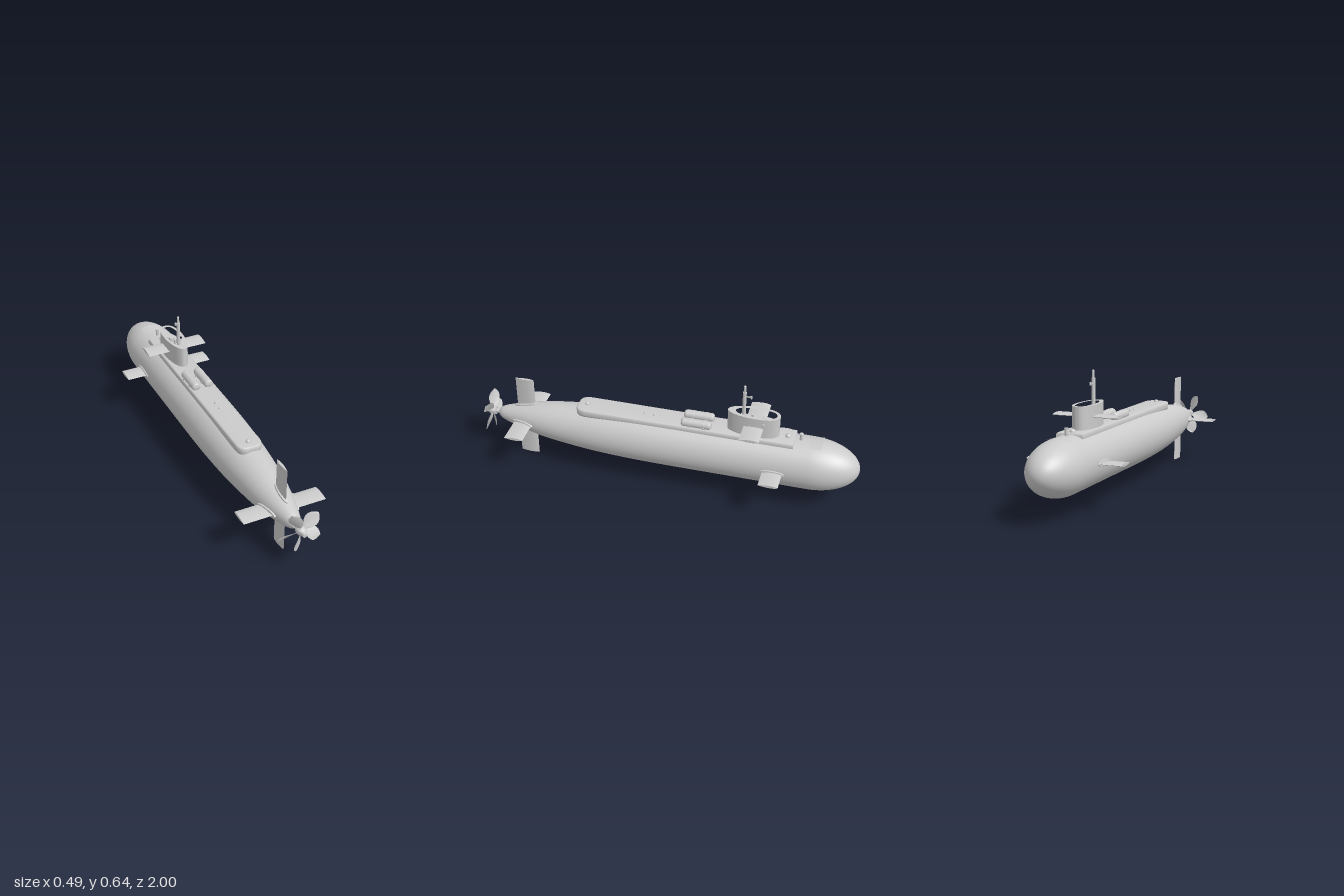
import * as THREE from 'three';
import { toCreasedNormals } from 'three/addons/utils/BufferGeometryUtils.js';

const AXIS = 0.233; // height of the hull centreline
const grey = new THREE.MeshStandardMaterial({ color: 0xcccccc });
const greyThin = new THREE.MeshStandardMaterial({ color: 0xcccccc, side: THREE.DoubleSide });

export function createModel() {
  const model = new THREE.Group();
  model.name = 'submarine';

  const add = (name, geo, x = 0, y = 0, z = 0, parent = model, mat = grey) => {
    const mesh = new THREE.Mesh(geo, mat);
    mesh.name = name;
    mesh.position.set(x, y, z);
    parent.add(mesh);
    return mesh;
  };
  const v2 = (a) => a.map(([x, y]) => new THREE.Vector2(x, y));
  // Solid of revolution along z from [radius, z] pairs
  const turned = (pts, seg = 32) => new THREE.LatheGeometry(v2(pts), seg).rotateX(Math.PI / 2);
  const box = (w, h, d) => new THREE.BoxGeometry(w, h, d);
  const post = (r, h, seg = 16) => new THREE.CylinderGeometry(r, r, h, seg);
  // Plan outline (x, -z) raised upward
  const raised = (shape, depth, bevel = 0) => toCreasedNormals(
    new THREE.ExtrudeGeometry(shape, {
      depth, curveSegments: 20, bevelEnabled: bevel > 0,
      bevelSize: bevel, bevelThickness: bevel, bevelOffset: -bevel, bevelSegments: 3,
    }).rotateX(-Math.PI / 2), 0.6);

  // Hull: elliptical bow, parallel middle, tapered stern
  const profile = [];
  for (let i = 0; i <= 20; i++) {
    const a = (i / 20) * Math.PI / 2;
    profile.push([0.135 * Math.sin(a), -0.75 - 0.25 * Math.cos(a)]);
  }
  const tail = new THREE.SplineCurve(v2([[0.135, -0.3], [0.135, 0], [0.132, 0.2], [0.122, 0.4],
    [0.102, 0.6], [0.082, 0.72], [0.058, 0.82], [0.036, 0.89], [0.018, 0.915]]));
  tail.getPoints(40).forEach((p) => profile.push([p.x, p.y]));
  profile.push([0, 0.917]);
  add('hull', turned(profile, 64), 0, AXIS);

  // Deck casing, square forward and rounded aft
  const casing = new THREE.Shape();
  casing.moveTo(-0.067, 0.665);
  casing.lineTo(-0.067, -0.41);
  casing.quadraticCurveTo(-0.067, -0.47, -0.02, -0.47);
  casing.lineTo(0.02, -0.47);
  casing.quadraticCurveTo(0.067, -0.47, 0.067, -0.41);
  casing.lineTo(0.067, 0.665);
  add('deckCasing', raised(casing, 0.022, 0.01), 0, 0.343);

  // Sail with an open bridge well
  const oval = (path, w, front, back, mid) => {
    path.moveTo(0, front);
    path.bezierCurveTo(w * 0.7, front, w, mid + 0.07, w, mid);
    path.bezierCurveTo(w, mid - 0.07, w * 0.6, back, 0, back);
    path.bezierCurveTo(-w * 0.6, back, -w, mid - 0.07, -w, mid);
    path.bezierCurveTo(-w, mid + 0.07, -w * 0.7, front, 0, front);
    return path;
  };
  const sail = new THREE.Group();
  sail.name = 'sail';
  model.add(sail);
  const wall = oval(new THREE.Shape(), 0.052, 0.585, 0.32, 0.47);
  wall.holes.push(oval(new THREE.Path(), 0.036, 0.568, 0.36, 0.47));
  add('sailWall', raised(wall, 0.115), 0, 0.37, 0, sail);
  add('bridgeFloor', raised(oval(new THREE.Shape(), 0.045, 0.577, 0.34, 0.47), 0.07), 0, 0.37, 0, sail);
  add('bridgeHatch', post(0.018, 0.012, 24), 0, 0.446, -0.525, sail);
  add('bridgeConsole', box(0.028, 0.024, 0.022), 0, 0.452, -0.488, sail);
  add('mastHousing', post(0.014, 0.03), 0, 0.455, -0.40, sail);
  add('bridgePost', post(0.006, 0.035), 0, 0.457, -0.445, sail);
  add('sailLamp', box(0.012, 0.017, 0.014), 0.05, 0.452, -0.51, sail);

  // Periscope
  const scope = new THREE.Group();
  scope.name = 'periscope';
  model.add(scope);
  add('lowerTube', post(0.0095, 0.16), 0, 0.52, -0.40, scope);
  add('upperTube', new THREE.CapsuleGeometry(0.006, 0.05, 6, 16), 0, 0.608, -0.40, scope);
  add('scopeArm', box(0.005, 0.005, 0.03), 0, 0.574, -0.42, scope);
  add('scopeEye', post(0.005, 0.014), 0, 0.574, -0.434, scope);

  // Control surfaces: streamlined section extruded along the span
  const foil = (chord, thick, span) => {
    const s = new THREE.Shape(), c = chord / 2, t = thick / 2;
    s.moveTo(-c, 0);
    s.bezierCurveTo(-c * 0.5, -t * 0.9, c * 0.5, -t * 1.8, c, 0);
    s.bezierCurveTo(c * 0.5, t * 1.8, -c * 0.5, t * 0.9, -c, 0);
    const g = new THREE.ExtrudeGeometry(s, { depth: span, bevelEnabled: false, curveSegments: 10 });
    return toCreasedNormals(g.rotateY(Math.PI / 2), 0.6); // span +x, leading edge -z
  };
  // Oval root collar lying on the hull, facing +x
  const collar = (slope) => {
    const s = new THREE.Shape().absellipse(0, 0, 0.062, 0.015, 0, Math.PI * 2);
    const g = new THREE.ExtrudeGeometry(s, { depth: 0.018, bevelEnabled: true, bevelSize: 0.003,
      bevelThickness: 0.003, bevelOffset: -0.003, bevelSegments: 2, curveSegments: 20 });
    return toCreasedNormals(g.rotateY(Math.PI / 2 - slope), 0.6);
  };
  const fin = (name, angle, z, root, tip, y, collarAt, slope) => {
    const g = new THREE.Group();
    g.name = name;
    g.position.set(0, y, z);
    g.rotation.z = angle;
    model.add(g);
    add('blade', foil(0.1, 0.014, tip - root), root, 0, 0, g);
    if (collarAt) add('rootCollar', collar(slope), collarAt, 0, 0, g);
  };
  [['left', 0], ['right', Math.PI]].forEach(([side, a]) => {
    fin(side + 'BowPlane', a, -0.58, 0.1, 0.243, AXIS, 0.12, 0);
    fin(side + 'SailPlane', a, -0.46, 0.035, 0.163, 0.429);
    fin(side + 'SternPlane', a, 0.76, 0.03, 0.215, AXIS, 0.06, 0.25);
  });
  fin('upperRudder', Math.PI / 2, 0.76, 0.03, 0.234, AXIS, 0.06, 0.25);
  fin('lowerRudder', -Math.PI / 2, 0.76, 0.03, 0.233, AXIS, 0.06, 0.25);

  // Propeller: shaft, hub and five twisted leaf blades
  const prop = new THREE.Group();
  prop.name = 'propeller';
  prop.position.set(0, AXIS, 0);
  model.add(prop);
  add('shaft', turned([[0.012, 0.9], [0.012, 0.95]], 20), 0, 0, 0, prop);
  add('hub', toCreasedNormals(turned([[0, 0.937], [0.021, 0.937], [0.023, 0.95], [0.022, 0.968],
    [0.016, 0.977], [0.013, 0.985], [0.011, 0.996], [0, 1]], 24), 0.7), 0, 0, 0, prop);
  const blade = new THREE.PlaneGeometry(1, 1, 8, 20);
  const p = blade.attributes.position;
  for (let i = 0; i < p.count; i++) {
    const u = p.getX(i) * 2, t = p.getY(i) + 0.5;
    const half = 0.005 * (1 - t) + 0.031 * Math.pow(Math.sin(Math.PI * Math.pow(t, 1.25)), 0.7);
    const pitch = 0.85 - 0.4 * t, w = u * half;
    p.setXYZ(i, w * Math.cos(pitch), 0.017 + 0.1 * t, w * Math.sin(pitch) + 0.004 * (1 - u * u));
  }
  blade.computeVertexNormals();
  for (let i = 0; i < 5; i++) {
    const m = add('propellerBlade', blade, 0, 0, 0.957, prop, greyThin);
    m.rotation.z = THREE.MathUtils.degToRad(43 - 90 + i * 72);
  }

  // Pair of deck canisters with bands and cradles
  const canister = turned([[0, -0.078], [0.014, -0.077], [0.021, -0.072], [0.023, -0.064],
    [0.023, 0.064], [0.021, 0.072], [0.014, 0.077], [0, 0.078]], 28);
  const band = turned([[0.022, -0.003], [0.0242, -0.003], [0.0242, 0.003], [0.022, 0.003]], 28);
  for (const s of [-1, 1]) {
    const g = new THREE.Group();
    g.name = s > 0 ? 'leftCanister' : 'rightCanister';
    g.position.set(s * 0.035, 0.387, -0.167);
    model.add(g);
    add('canisterBody', canister, 0, 0, 0, g);
    for (const z of [-0.04, 0.03]) {
      add('canisterBand', band, 0, 0, z, g);
      add('cradle', box(0.05, 0.01, 0.012), 0, -0.008, z, g);
    }
  }

  // Deck fittings
  const dome = (r) => new THREE.SphereGeometry(r, 20, 10, 0, Math.PI * 2, 0, Math.PI / 2);
  add('forwardDome', dome(0.015), 0, 0.375, -0.63);
  add('forwardPost', post(0.008, 0.05), 0, 0.378, -0.695);
  add('forwardPostCap', post(0.01, 0.008), 0, 0.4, -0.695);
  for (const z of [0.06, 0.11]) add('deckBollard', dome(0.008), 0.0, 0.375, z);
  add('aftDome', dome(0.012), 0, 0.375, 0.42);

  // Forward hatch plate curved to the hull
  const plate = new THREE.CylinderGeometry(0.1355, 0.1385, 0.065, 16, 1, true, Math.PI - 0.4, 0.8)
    .rotateX(Math.PI / 2).rotateX(0.02);
  add('forwardHatch', plate, 0, AXIS, -0.775, model, greyThin);
  return model;
}
